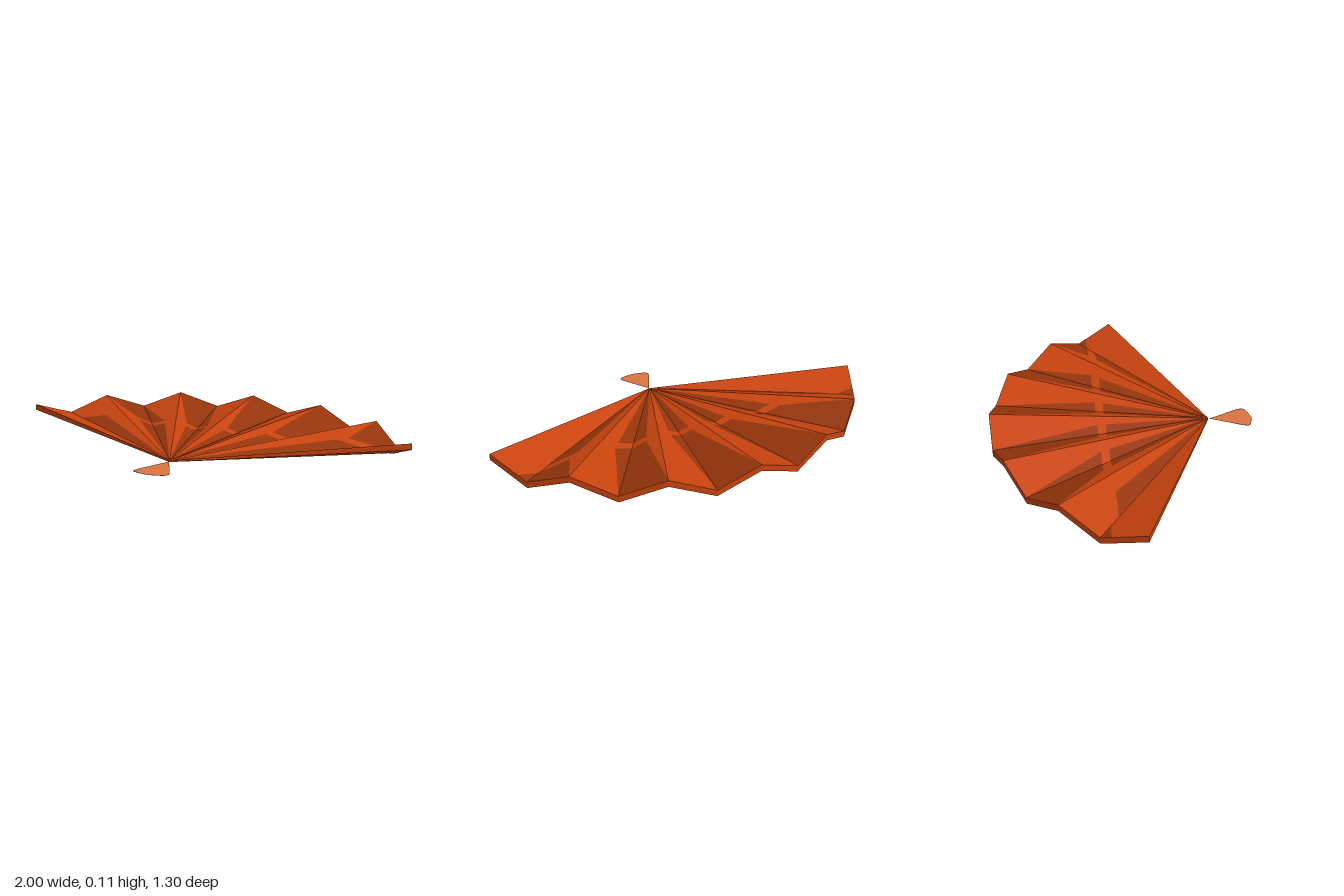
import * as THREE from 'three';

const PLEATS = 12, RADIUS = 1.085, APEX_Z = 0.43;
const SPREAD = THREE.MathUtils.degToRad(134.4), STEP = SPREAD / PLEATS;
const angle = s => s * STEP - SPREAD / 2;

// Heights of the folded sheet: ridges on even folds, valleys on odd ones
const SIDES = {
  top: { apex: 0.023, ridge: 0.105, valley: 0.03 },
  bottom: { apex: 0.016, ridge: 0.075, valley: 0 },
};

// Radius of the straight rim edge at fold position s
function rim(s) {
  const f = s - Math.floor(s);
  return RADIUS * Math.cos(STEP / 2) / Math.cos((f - 0.5) * STEP);
}

// Radius where fold position s meets a line of constant z
const atZ = (s, z) => (APEX_Z - z) / Math.cos(angle(s));

// Point on the pleated surface at fold position s and radius r
function point([s, r], side, lift = 0) {
  const i = Math.min(Math.floor(s), PLEATS - 1), f = s - i;
  const a = r * Math.sin((1 - f) * STEP) / (RADIUS * Math.sin(STEP));
  const b = r * Math.sin(f * STEP) / (RADIUS * Math.sin(STEP));
  const h = SIDES[side];
  const [h0, h1] = i % 2 ? [h.valley, h.ridge] : [h.ridge, h.valley];
  const y = h.apex * (1 - a - b) + a * h0 + b * h1 + lift;
  return [r * Math.sin(angle(s)), y, APEX_Z - r * Math.cos(angle(s))];
}

// Convex polygon as a triangle fan
function addPolygon(out, pts) {
  for (let i = 1; i < pts.length - 1; i++) out.push(...pts[0], ...pts[i], ...pts[i + 1]);
}

// The same patch on the upper and lower faces of the sheet
function addPatch(out, poly, lift = 0) {
  addPolygon(out, poly.map(p => point(p, 'top', lift)));
  addPolygon(out, poly.map(p => point(p, 'bottom', -lift)).reverse());
}

function meshFrom(positions, material, name) {
  const g = new THREE.BufferGeometry();
  g.setAttribute('position', new THREE.Float32BufferAttribute(positions, 3));
  g.computeVertexNormals();
  const m = new THREE.Mesh(g, material);
  m.name = name;
  return m;
}

export function createModel() {
  const group = new THREE.Group();
  group.name = 'foldingFan';
  const mat = (name, color) => {
    const m = new THREE.MeshStandardMaterial({ color });
    m.name = name;
    return m;
  };
  const orange = mat('burntOrange', 0xc8430e);
  const brown = mat('darkRust', 0x95350c);
  const copper = mat('lightCopper', 0xdb7440);

  // Pleated leaf with a thin wall around its outline
  const leaf = [];
  const outline = [[PLEATS / 2, 0]];
  for (let i = PLEATS; i >= 0; i--) outline.push([i, RADIUS]);
  for (let i = 0; i < PLEATS; i++) addPatch(leaf, [[i, 0], [i + 1, RADIUS], [i, RADIUS]]);
  outline.forEach((p, i) => {
    const q = outline[(i + 1) % outline.length];
    addPolygon(leaf, [point(p, 'bottom'), point(q, 'bottom'), point(q, 'top'), point(p, 'top')]);
  });
  group.add(meshFrom(leaf, orange, 'pleatedLeaf'));

  // Painted wedges along the valleys, and blades reaching the rim
  const inner = [], outer = [], lift = 0.0015;
  const IN = -0.09, OUT = -0.13;
  for (let v = 1; v < PLEATS; v += 2) {
    const first = v === 1, last = v === PLEATS - 1;
    if (!last) addPatch(inner, [[v, 0], [v + 0.5, atZ(v + 0.5, IN)], [v, atZ(v, IN)]], lift);
    if (!first) addPatch(inner, [[v - 0.5, 0], [v, atZ(v, IN)], [v - 0.5, atZ(v - 0.5, IN)]], lift);

    const fold = [v, atZ(v, OUT)], tip = [v, RADIUS];
    if (first) {
      addPatch(outer, [[v - 0.24, rim(v - 0.24)], fold, tip], lift);
      continue;
    }
    addPatch(outer, [[v - 0.5, atZ(v - 0.5, OUT)], fold, tip, [v - 1, RADIUS]], lift);
    const s = last ? v + 0.24 : v + 0.5;
    addPatch(outer, [fold, [s, last ? rim(s) : atZ(s, OUT)], tip], lift);
  }
  group.add(meshFrom(inner, brown, 'innerWedges'));
  group.add(meshFrom(outer, brown, 'outerBlades'));

  // Flattened cone-shaped handle with a rounded end
  const profile = [[0, 0], [0.05, 0.012], [0.075, 0.02], [0.085, 0.035], [0.078, 0.06], [0, 0.215]]
    .map(([x, y]) => new THREE.Vector2(x, y));
  const handleShape = new THREE.LatheGeometry(profile, 24);
  handleShape.rotateX(-Math.PI / 2);
  handleShape.scale(1, 0.05, 1);
  handleShape.computeVertexNormals();
  const handle = new THREE.Mesh(handleShape, copper);
  handle.name = 'handle';
  handle.position.set(0, 0.02, 0.65);
  group.add(handle);

  return group;
}
